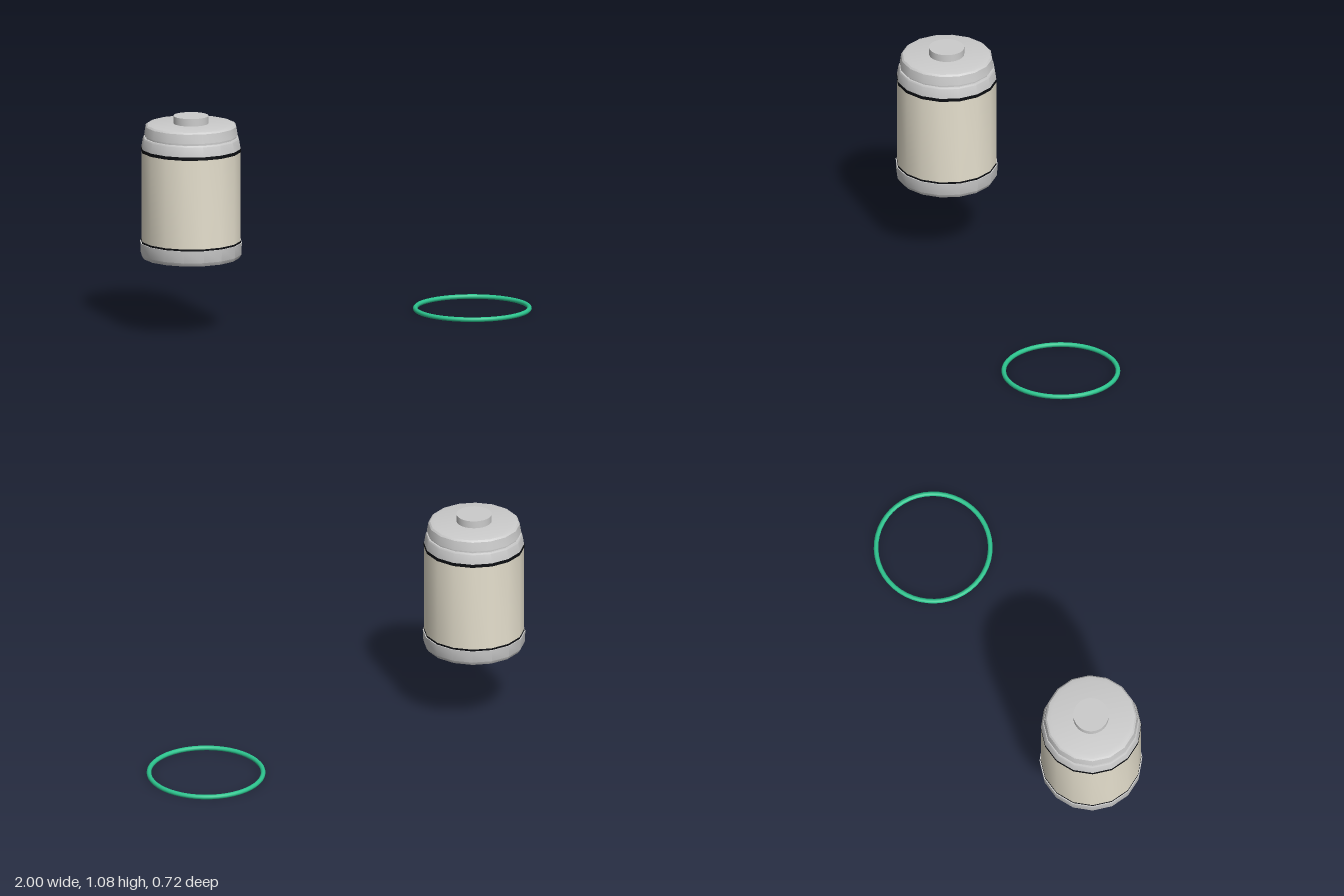
import * as THREE from 'three';
import { toCreasedNormals } from 'three/addons/utils/BufferGeometryUtils.js';

const SIDES = 16;

const paint = (color) => new THREE.MeshStandardMaterial({ color });

// Turned part from [radius, height] pairs, listed bottom to top
function turned(name, profile, material, sides = SIDES) {
  const points = profile.map(([r, y]) => new THREE.Vector2(r, y));
  const geometry = toCreasedNormals(new THREE.LatheGeometry(points, sides), 0.5);
  const mesh = new THREE.Mesh(geometry, material);
  mesh.name = name;
  return mesh;
}

export function createModel() {
  const model = new THREE.Group();
  model.name = 'canisterAndRing';

  const grey = paint(0xcccccc);
  const cream = paint(0xe6e0ce);
  const black = paint(0x0c0e12);
  const green = paint(0x2cc48e);

  const canister = new THREE.Group();
  canister.name = 'canister';
  canister.position.set(-0.75, 0, 0.108);
  model.add(canister);

  canister.add(
    // Foot with a chamfered lower edge
    turned('base', [[0, 0.378], [0.236, 0.378], [0.247, 0.396], [0.25, 0.455], [0, 0.455]], grey),
    // Dark seams above and below the body
    turned('lowerBand', [[0, 0.453], [0.245, 0.453], [0.245, 0.464], [0, 0.464]], black),
    turned('body', [[0, 0.463], [0.244, 0.463], [0.244, 0.906], [0, 0.906]], cream),
    turned('upperBand', [[0, 0.905], [0.245, 0.905], [0.245, 0.921], [0, 0.921]], black),
    // Tapered shoulder and the recessed neck under the lid
    turned('collar', [[0, 0.92], [0.244, 0.92], [0.236, 0.968], [0.232, 0.975], [0, 0.975]], grey),
    turned('neck', [[0.223, 0.97], [0.223, 0.988]], grey),
    // Lid with a softened rim
    turned('lid', [[0, 0.985], [0.23, 0.985], [0.223, 1.03], [0.215, 1.038], [0.193, 1.043], [0, 1.043]], grey),
    turned('knob', [[0.086, 1.04], [0.086, 1.08], [0, 1.08]], grey, 32),
  );

  // Thin ring lying on the ground
  const ring = new THREE.Mesh(new THREE.TorusGeometry(0.278, 0.0115, 12, 48), green);
  ring.name = 'ring';
  ring.rotation.x = -Math.PI / 2;
  ring.position.set(0.71, 0.0115, -0.072);
  model.add(ring);

  return model;
}
